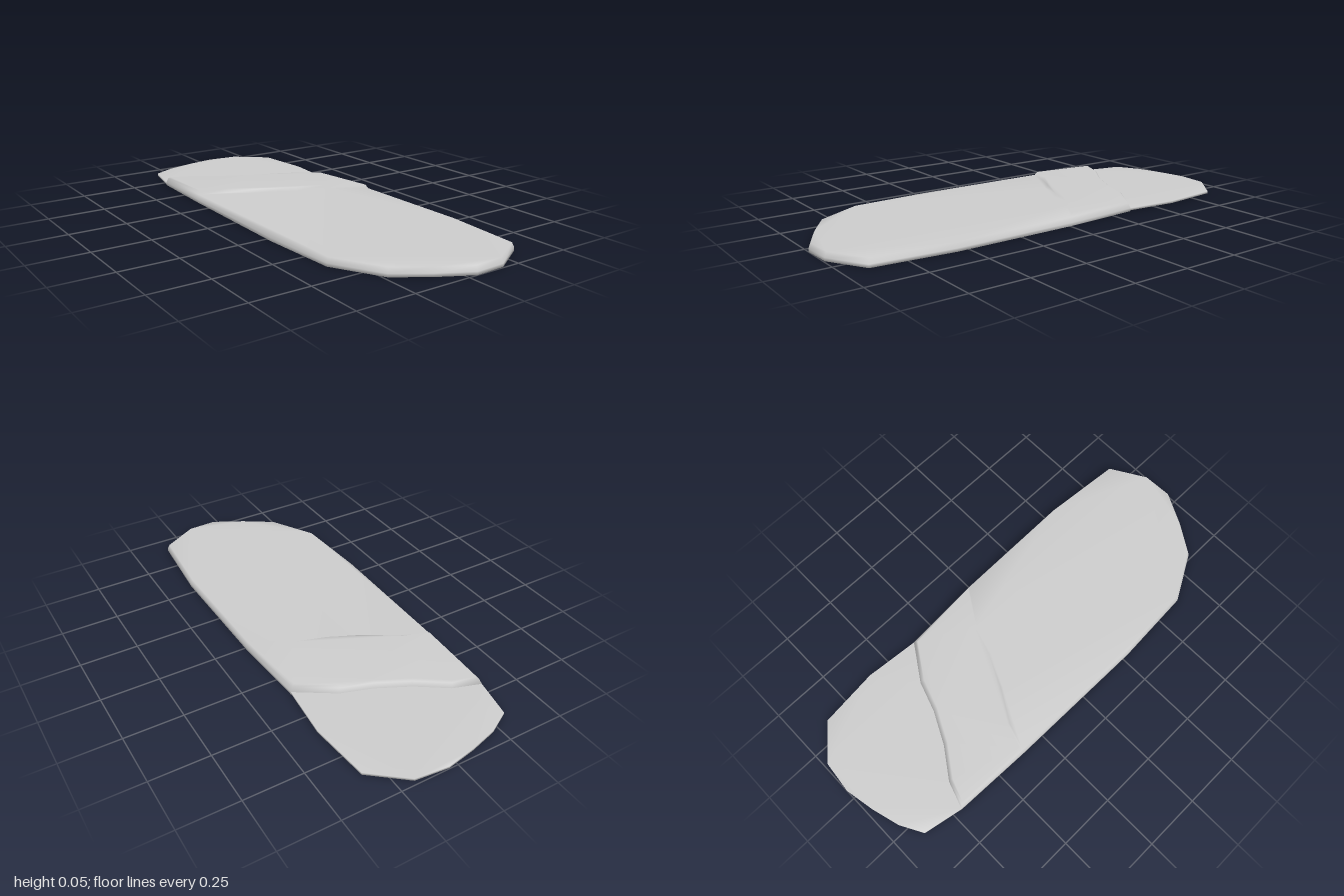
import * as THREE from 'three';
import { mergeVertices } from 'three/addons/utils/BufferGeometryUtils.js';

// Plan outlines as [x, z], counterclockwise seen from above
const seam = [[-0.35, -0.71], [-0.23, -0.67], [-0.1, -0.58], [0.04, -0.51], [0.175, -0.465], [0.335, -0.36]];
const seamBack = [...seam].reverse();

// Move every outline point inwards by d along its mitred normal
function inset(points, d) {
  const n = points.length;
  return points.map(([x, z], i) => {
    const [px, pz] = points[(i + n - 1) % n];
    const [qx, qz] = points[(i + 1) % n];
    const a = new THREE.Vector2(z - pz, px - x).normalize();
    const b = new THREE.Vector2(qz - z, x - qx).normalize();
    const m = a.clone().add(b).normalize();
    const k = d / Math.max(m.dot(a), 0.7);
    return [x + m.x * k, z + m.y * k];
  });
}

const atHeight = (points, y) => points.map(([x, z]) => new THREE.Vector3(x, y, z));

// Collects wall strips and caps into one smooth, welded mesh
function builder() {
  const pos = [];
  const tri = (...v) => v.forEach((p) => pos.push(p.x, p.y, p.z));
  return {
    strip(lo, hi) {
      for (let i = 0; i + 1 < lo.length; i++) {
        tri(lo[i], lo[i + 1], hi[i + 1]);
        tri(lo[i], hi[i + 1], hi[i]);
      }
    },
    cap(ring, up) {
      const flat = ring.map((p) => new THREE.Vector2(p.x, -p.z));
      for (const [a, b, c] of THREE.ShapeUtils.triangulateShape(flat, [])) {
        if (up) tri(ring[a], ring[b], ring[c]);
        else tri(ring[a], ring[c], ring[b]);
      }
    },
    mesh(name, material) {
      const raw = new THREE.BufferGeometry();
      raw.setAttribute('position', new THREE.Float32BufferAttribute(pos, 3));
      const geometry = mergeVertices(raw, 1e-5);
      geometry.computeVertexNormals();
      const mesh = new THREE.Mesh(geometry, material);
      mesh.name = name;
      return mesh;
    },
  };
}

const close = (ring) => [...ring, ring[0]];

export function createModel() {
  const group = new THREE.Group();
  group.name = 'slab';
  const grey = new THREE.MeshStandardMaterial({ color: 0xcccccc });

  // Main slab: bottom, side walls and bevelled rim
  const stepLine = seam.map(([x, z]) => [x * 1.051 + 0.006, z + 0.352]);
  const front = [
    stepLine[0], [-0.369, 0.28], [-0.35, 0.63], [-0.235, 0.835], [-0.1, 0.925], [0.04, 1],
    [0.175, 0.995], [0.337, 0.9], [0.366, 0.55], stepLine[5],
  ];
  const outline = [...front, ...seamBack];
  const foot = atHeight(outline, 0);
  const belt = atHeight(outline, 0.014);
  const rim = atHeight(inset(outline, 0.009), 0.035);
  const slab = builder();
  slab.cap(foot, false);
  slab.strip(close(foot), close(belt));
  slab.strip(close(belt), close(rim));

  // Lower top surface in front of the step
  const step = atHeight(stepLine.slice(1, 5), 0.035);
  const k = front.length;
  slab.cap([...rim.slice(0, k), ...[...step].reverse()], true);

  // Raised top behind the step, sinking slightly towards the seam
  const base = [rim[0], ...step, ...rim.slice(k - 1)];
  const raised = inset(base.map((p) => [p.x, p.z]), 0.01).map(([x, z]) => {
    const t = THREE.MathUtils.clamp((z + 0.535 - 0.5 * x) / 0.26, 0, 1);
    return new THREE.Vector3(x, THREE.MathUtils.lerp(0.041, 0.0508, t), z);
  });
  slab.strip(close(base), close(raised));
  slab.cap(raised, true);
  group.add(slab.mesh('mainSlab', grey));

  // Thin flap behind the seam
  const flapEdge = [
    seam[5], [0.356, -0.6], [0.33, -0.865], [0.185, -0.985], [0.04, -1],
    [-0.09, -0.975], [-0.215, -0.94], [-0.315, -0.885], seam[0],
  ];
  const flapOutline = [...seam.slice(0, 5), ...flapEdge.slice(0, -1)];
  const flap = builder();
  flap.cap(atHeight(flapOutline, 0.004), false);
  flap.strip(atHeight(flapEdge, 0.004), atHeight(flapEdge, 0.014));
  flap.cap(atHeight(flapOutline, 0.014), true);
  group.add(flap.mesh('backFlap', grey));

  return group;
}
